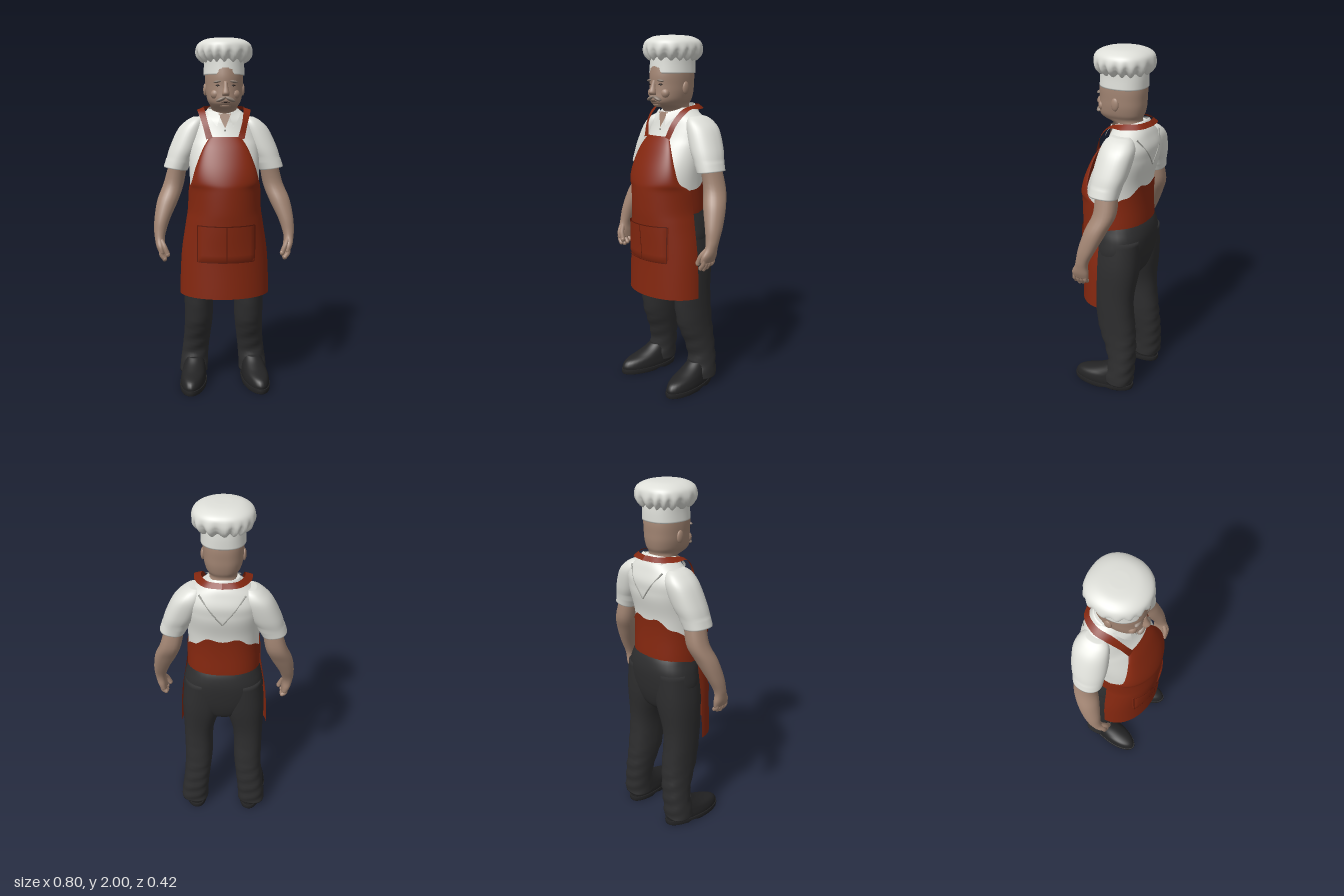
import * as THREE from 'three';

const mat = (name, color, side = THREE.FrontSide) => {
  const m = new THREE.MeshStandardMaterial({ color, side });
  m.name = name;
  return m;
};

// Catmull-Rom sample of a row table at fractional index f
function sample(rows, f) {
  const n = rows.length - 1, i = Math.min(Math.floor(f), n - 1), t = f - i;
  const a = rows[Math.max(i - 1, 0)], b = rows[i], c = rows[i + 1], d = rows[Math.min(i + 2, n)];
  return b.map((_, k) => 0.5 * (2 * b[k] + (c[k] - a[k]) * t + (2 * a[k] - 5 * b[k] + 4 * c[k] - d[k]) * t * t
    + (3 * b[k] - a[k] - 3 * c[k] + d[k]) * t * t * t));
}
// Row at height y (rows run from top to bottom)
function atHeight(rows, y) {
  let i = 0;
  while (i < rows.length - 2 && rows[i + 1][0] > y) i++;
  const t = Math.min(Math.max((rows[i][0] - y) / (rows[i][0] - rows[i + 1][0]), 0), 1);
  return sample(rows, i + t);
}
// Surface from fn(u, v) -> [x, y, z]; wrap closes it in u
function grid(fn, nu, nv, wrap = false) {
  const pos = [], idx = [], w = wrap ? nu : nu + 1;
  for (let i = 0; i <= nv; i++) for (let j = 0; j < w; j++) pos.push(...fn(j / nu, i / nv));
  for (let i = 0; i < nv; i++) for (let j = 0; j < nu; j++) {
    const a = i * w + j, b = i * w + (j + 1) % w;
    idx.push(a, b, a + w, b, b + w, a + w);
  }
  const g = new THREE.BufferGeometry();
  g.setAttribute('position', new THREE.Float32BufferAttribute(pos, 3));
  g.setIndex(idx);
  g.computeVertexNormals();
  return g;
}
// Point on an oval section [y, cx, cz, rx, rz], a little flatter at the back
function oval([y, cx, cz, rx, rz], a, k = 1) {
  const c = Math.cos(a), s = Math.sin(a), p = s < 0 ? 0.84 : 1;
  return [cx + k * rx * Math.sign(c) * Math.abs(c) ** p, y, cz + k * rz * Math.sign(s) * Math.abs(s) ** p];
}
// Closed body through horizontal sections, listed top to bottom
function loft(rows, { seg = 36, warp = p => p, caps = true } = {}) {
  const n = rows.length - 1, steps = n * 5, extra = caps ? 1 : 0, nv = steps + 2 * extra;
  return grid((u, v) => {
    const k = Math.round(v * nv) - extra;
    const r = sample(rows, Math.min(Math.max(k, 0), steps) / 5);
    const closed = k < 0 || k > steps;
    return warp(oval(r, u * Math.PI * 2, closed ? 0.001 : 1), u * Math.PI * 2);
  }, seg, nv, true);
}
const curve = pts => new THREE.CatmullRomCurve3(pts.map(p => new THREE.Vector3(...p)));
const ribbon = (a, b) => {
  const A = curve(a), B = curve(b);
  return grid((u, v) => A.getPoint(v).lerp(B.getPoint(v), u).toArray(), 1, 24);
};

const TORSO = [[1.615, 0, -0.08, 0.085, 0.075], [1.585, 0, -0.083, 0.125, 0.095], [1.55, 0, -0.085, 0.17, 0.108],
  [1.5, 0, -0.085, 0.195, 0.125], [1.45, 0, -0.073, 0.2, 0.136], [1.4, 0, -0.054, 0.2, 0.15],
  [1.3, 0, -0.017, 0.198, 0.163], [1.2, 0, 0, 0.195, 0.175], [1.06, 0, -0.005, 0.196, 0.176]];
// Apron rows: height, half width, edge z, middle z
const APRON = [[1.465, 0.085, 0.068, 0.088], [1.4, 0.125, 0.09, 0.128], [1.3, 0.165, 0.1, 0.173], [1.22, 0.187, 0.085, 0.198],
  [1.17, 0.202, 0.02, 0.203], [1.06, 0.208, 0, 0.203], [0.98, 0.22, 0, 0.198], [0.8, 0.246, 0, 0.186], [0.57, 0.257, 0, 0.19]];

export function createModel() {
  const model = new THREE.Group();
  const white = mat('white cloth', 0xdedfd9, THREE.DoubleSide), grey = mat('cloth seam', 0xa9aaa4);
  const red = mat('red apron', 0x84270f, THREE.DoubleSide), seam = mat('apron seam', 0x5c1808, THREE.DoubleSide);
  const skin = mat('skin', 0xa28573, THREE.DoubleSide), hair = mat('grey hair', 0x8a7a6e), dark = mat('dark eyes', 0x2e231f);
  const black = mat('dark trousers', 0x2d2d2e), leather = mat('black leather', 0x232324);
  const add = (name, geo, m, parent = model) => {
    const mesh = new THREE.Mesh(geo, m);
    mesh.name = name;
    parent.add(mesh);
    return mesh;
  };
  const blob = (name, m, x, y, z, sx, sy, sz, rz = 0) => {
    const b = add(name, new THREE.SphereGeometry(1, 16, 12), m);
    b.position.set(x, y, z);
    b.scale.set(sx, sy, sz);
    b.rotation.z = rz;
    return b;
  };

  // Hat: band and pleated crown
  add('hatBand', loft([[1.895, 0, -0.03, 0.112, 0.125], [1.85, 0, -0.03, 0.112, 0.128], [1.8, 0, -0.028, 0.115, 0.13]]), white);
  add('hatCrown', loft([[2, 0, -0.03, 0.04, 0.04], [1.993, 0, -0.03, 0.1, 0.1], [1.97, 0, -0.03, 0.143, 0.145],
    [1.935, 0, -0.03, 0.159, 0.16], [1.905, 0, -0.03, 0.153, 0.156], [1.88, 0, -0.03, 0.13, 0.138], [1.872, 0, -0.03, 0.112, 0.122]],
  { seg: 112, warp: ([x, y, z], a) => {
    const f = Math.min(Math.max((1.96 - y) / 0.05, 0), 1), k = 1 - 0.055 * f * (1 - Math.cos(a * 16 + Math.sin(a * 3))) / 2;
    return [x * k, y - 0.008 * f * Math.cos(a * 16 + Math.sin(a * 3)), -0.03 + (z + 0.03) * k];
  } }), white);

  // Head and face
  add('head', loft([[1.85, 0, -0.025, 0.104, 0.122], [1.79, 0, -0.025, 0.106, 0.13], [1.74, 0, -0.025, 0.104, 0.129],
    [1.7, 0, -0.023, 0.101, 0.129], [1.66, 0, -0.018, 0.092, 0.126], [1.635, 0, -0.02, 0.078, 0.113],
    [1.615, 0, -0.05, 0.072, 0.085], [1.59, 0, -0.072, 0.074, 0.08], [1.54, 0, -0.075, 0.08, 0.08]]), skin);
  add('nose', loft([[1.765, 0, 0.098, 0.011, 0.01], [1.73, 0, 0.103, 0.014, 0.018], [1.7, 0, 0.108, 0.021, 0.026],
    [1.685, 0, 0.104, 0.018, 0.016]], { seg: 16 }), skin);
  blob('mouth', dark, 0, 1.653, 0.1, 0.024, 0.004, 0.009);
  blob('chin', skin, 0, 1.637, 0.072, 0.034, 0.018, 0.024);
  for (const s of [-1, 1]) {
    blob('moustache', hair, s * 0.024, 1.669, 0.1, 0.031, 0.011, 0.018, -s * 0.4);
    blob('cheek', skin, s * 0.05, 1.695, 0.068, 0.03, 0.028, 0.024);
    blob('brow', hair, s * 0.04, 1.763, 0.09, 0.027, 0.007, 0.014, -s * 0.12);
    blob('eye', dark, s * 0.04, 1.742, 0.09, 0.014, 0.005, 0.009);
    blob('ear', skin, s * 0.105, 1.722, -0.035, 0.011, 0.034, 0.022);
  }

  // Shirt body, collar and open neck
  add('shirtBody', loft(TORSO, { seg: 48 }), white);
  add('collar', loft([[1.615, 0, -0.077, 0.084, 0.086], [1.605, 0, -0.077, 0.094, 0.094], [1.57, 0, -0.077, 0.112, 0.107]],
    { caps: false, warp: ([x, y, z]) => [x, y - (z + 0.08) * 0.28, z] }), white);
  add('openNeck', ribbon([[-0.036, 1.592, 0.033], [-0.018, 1.55, 0.045], [0, 1.51, 0.058]],
    [[0.036, 1.592, 0.033], [0.018, 1.55, 0.045], [0, 1.51, 0.058]]), skin);
  blob('shirtButton', grey, 0, 1.5, 0.058, 0.006, 0.006, 0.004);

  for (const s of [-1, 1]) {
    const m = rows => rows.map(([y, x, ...r]) => [y, s * x, ...r]);
    const flip = pts => pts.map(([x, y, z]) => [s * x, y, z]);
    add('collarFlap', ribbon(flip([[0.024, 1.59, 0.034], [0.034, 1.555, 0.05], [0.044, 1.522, 0.06]]),
      flip([[0.094, 1.605, -0.02], [0.075, 1.56, 0.034], [0.046, 1.522, 0.06]])), white);
    add('sleeve', loft(m([[1.572, 0.14, -0.09, 0.03, 0.05], [1.55, 0.155, -0.09, 0.055, 0.078], [1.5, 0.18, -0.09, 0.08, 0.095],
      [1.4, 0.222, -0.078, 0.085, 0.095], [1.33, 0.255, -0.068, 0.073, 0.085], [1.28, 0.275, -0.064, 0.068, 0.08]]),
    { warp: ([x, y, z]) => [x, y + (y < 1.34 ? (Math.abs(x) - 0.275) * 0.15 : 0), z] }), white);
    add('backSeam', new THREE.TubeGeometry(curve(flip([[0.12, 1.56, -0.175], [0.06, 1.48, -0.207], [0, 1.4, -0.205]])), 16, 0.004, 6), grey);

    // Arm, hand and fingers
    add('arm', loft(m([[1.34, 0.255, -0.07, 0.05, 0.06], [1.2, 0.285, -0.08, 0.058, 0.062], [1.1, 0.322, -0.045, 0.06, 0.06],
      [1, 0.354, -0.01, 0.045, 0.05], [0.93, 0.367, 0.012, 0.034, 0.038], [0.89, 0.369, 0.022, 0.028, 0.038],
      [0.85, 0.364, 0.032, 0.026, 0.05], [0.815, 0.356, 0.036, 0.02, 0.05]]), { seg: 24 }), skin);
    for (let i = 0; i < 4; i++) {
      const z = 0.001 + i * 0.023, low = 0.768 + [0.018, 0.006, 0, 0.008][i];
      add('finger', new THREE.TubeGeometry(curve(flip([[0.362, 0.84, z], [0.36, 0.805, z + 0.002], [0.343, low + 0.006, z + 0.003]])), 10, 0.0125, 8), skin);
      blob('fingertip', skin, s * 0.343, low + 0.006, z + 0.003, 0.0125, 0.0125, 0.0125);
    }
    add('thumb', new THREE.TubeGeometry(curve(flip([[0.362, 0.885, 0.045], [0.343, 0.85, 0.07], [0.325, 0.808, 0.076]])), 10, 0.014, 8), skin);
    blob('thumbTip', skin, s * 0.325, 0.808, 0.076, 0.014, 0.016, 0.014);

    // Apron strap running around the neck
    add('apronStrap', ribbon(
      flip([[0.07, 1.46, 0.084], [0.094, 1.54, 0.058], [0.108, 1.608, -0.01], [0.112, 1.628, -0.09], [0.075, 1.632, -0.162], [0, 1.632, -0.184]]),
      flip([[0.105, 1.452, 0.082], [0.127, 1.54, 0.042], [0.15, 1.608, -0.03], [0.145, 1.607, -0.1], [0.09, 1.61, -0.185], [0, 1.61, -0.206]])), red);

    // Trouser leg with soft folds toward the hem
    add('trouserLeg', loft(m([[0.98, 0.105, -0.05, 0.11, 0.14], [0.8, 0.118, -0.052, 0.117, 0.135], [0.6, 0.145, -0.05, 0.088, 0.117],
      [0.4, 0.148, -0.07, 0.083, 0.113], [0.28, 0.157, -0.098, 0.079, 0.094], [0.18, 0.168, -0.113, 0.079, 0.08],
      [0.1, 0.176, -0.105, 0.082, 0.085], [0.05, 0.178, -0.1, 0.083, 0.09]]),
    { warp: ([x, y, z], a) => [x, y, z + (y < 0.5 ? 0.004 * Math.sin(y * 75 + a * 2) : 0)] }), black);

    // Shoe, turned slightly outward
    const shoe = new THREE.Group();
    shoe.name = 'shoe';
    shoe.position.set(s * 0.183, 0, 0);
    shoe.rotation.y = s * 0.13;
    model.add(shoe);
    const taper = ([x, y, z]) => [x * (0.9 + 0.12 * Math.sin((z + 0.19) * 6)), y, z];
    add('shoeUpper', loft([[0.15, 0, -0.085, 0.05, 0.065], [0.125, 0, -0.07, 0.058, 0.09], [0.1, 0, -0.045, 0.064, 0.125],
      [0.075, 0, -0.012, 0.069, 0.168], [0.045, 0, 0, 0.073, 0.182], [0.02, 0, 0, 0.071, 0.18]], { warp: taper }), leather, shoe);
    add('shoeSole', loft([[0.028, 0, 0, 0.076, 0.188], [0.014, 0, 0, 0.077, 0.189], [0, 0, 0, 0.075, 0.186]],
      { warp: p => { const q = taper(p); return [q[0], q[1] < 0.01 && Math.abs(q[2] + 0.04) < 0.035 ? 0.012 : q[1], q[2]]; } }), leather, shoe);
  }

  // Trouser seat
  add('trouserSeat', loft([[1.085, 0, -0.01, 0.192, 0.168], [1.04, 0, -0.026, 0.203, 0.17], [0.98, 0, -0.045, 0.218, 0.16],
    [0.9, 0, -0.047, 0.226, 0.152], [0.82, 0, -0.05, 0.2, 0.135], [0.75, 0, -0.05, 0.13, 0.11], [0.71, 0, -0.05, 0.06, 0.07]]), black);

  // Apron front, then the panel wrapped round the back of the waist
  add('apronFront', grid((u, v) => {
    const [y, w, ze, zf] = sample(APRON, v * (APRON.length - 1)), a = Math.PI * (1 - u);
    return [w * Math.cos(a), y, ze + (zf - ze) * Math.sin(a)];
  }, 40, 48), red);
  add('apronBack', grid((u, v) => {
    const a = Math.PI - 0.12 + u * (Math.PI + 0.24), b = Math.max(-Math.sin(a), 0);
    const top = 1.18 + 0.11 * b ** 1.5 + 0.012 * Math.sin(a * 9) * b;
    return oval(atHeight(TORSO, Math.max(top + (1.05 - top) * v, 1.06)), a, 1.035).map((c, i) => i === 1 ? top + (1.045 - top) * v : c);
  }, 60, 10), red);

  // Double pocket laid on the apron
  const onApron = (x, y, off) => {
    const [, w, ze, zf] = atHeight(APRON, y);
    return [x, y, ze + (zf - ze) * Math.sqrt(Math.max(1 - (x / w) ** 2, 0)) + off];
  };
  const patch = (name, x0, x1, y0, y1, off, m) => add(name, grid((u, v) => {
    const edge = name === 'pocket' && (u === 0 || u === 1 || v === 1) ? 0 : off;
    return onApron(x0 + (x1 - x0) * u, y1 + (y0 - y1) * v, edge);
  }, 24, 10), m);
  patch('pocket', -0.16, 0.16, 0.78, 0.985, 0.01, red);
  patch('pocketTopSeam', -0.158, 0.158, 0.982, 0.988, 0.012, seam);
  patch('pocketBottomSeam', -0.155, 0.155, 0.778, 0.783, 0.008, seam);
  for (const x of [-0.159, 0, 0.159]) patch('pocketSeam', x - 0.0025, x + 0.0025, 0.78, 0.985, 0.0125, seam);
  return model;
}
